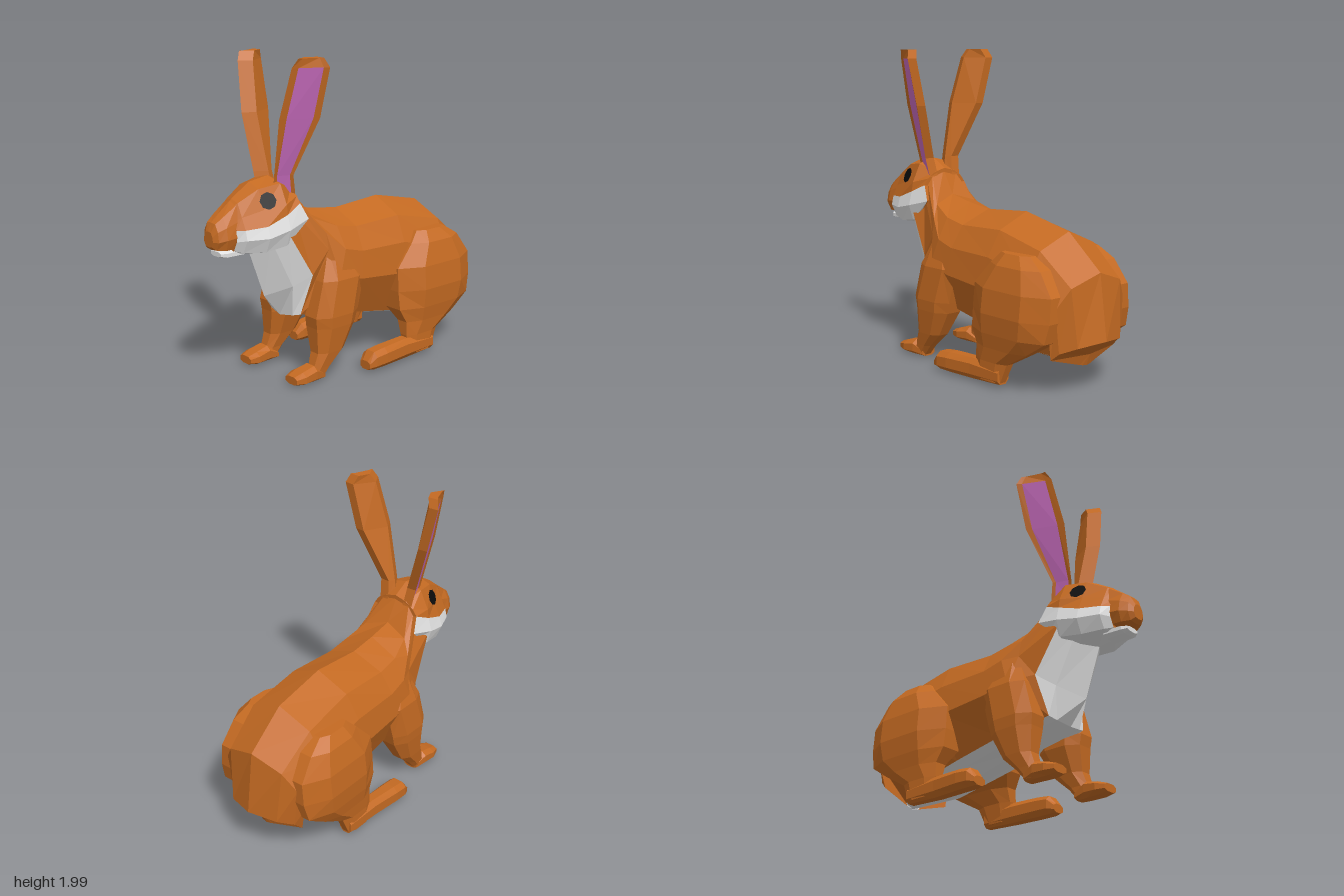
import * as THREE from 'three';

const mat = (name, color) => {
  const m = new THREE.MeshStandardMaterial({ color, flatShading: true });
  m.name = name;
  return m;
};

// Skin a list of equal-length rings, with faceted sides and closed ends.
// colourOf(segment, band) picks a material index; side = -1 mirrors in x.
function loft(name, rings, mats, { colourOf = () => 0, side = 1 } = {}) {
  const P = rings.map(r => r.map(p => new THREE.Vector3(p[0] * side, p[1], p[2])));
  const tris = mats.map(() => []);
  const n = P[0].length;
  for (let b = 0; b < P.length - 1; b++) {
    for (let i = 0; i < n; i++) {
      const j = (i + 1) % n;
      tris[colourOf(i, b)].push([P[b][i], P[b][j], P[b + 1][j]], [P[b][i], P[b + 1][j], P[b + 1][i]]);
    }
  }
  const close = (ring, flip) => {
    const c = ring.reduce((s, p) => s.add(p), new THREE.Vector3()).divideScalar(n);
    ring.forEach((p, i) => {
      const q = ring[(i + 1) % n];
      tris[0].push(flip ? [c, q, p] : [c, p, q]);
    });
  };
  close(P[0], true);
  close(P[P.length - 1], false);

  // Turn all faces outward using the sign of the enclosed volume
  let volume = 0;
  const t = new THREE.Vector3();
  tris.flat().forEach(([a, b, c]) => { volume += a.dot(t.crossVectors(b, c)); });
  const geo = new THREE.BufferGeometry();
  const pos = [];
  tris.forEach((list, m) => {
    geo.addGroup(pos.length / 3, list.length * 3, m);
    list.forEach(([a, b, c]) => {
      (volume > 0 ? [a, b, c] : [a, c, b]).forEach(p => pos.push(p.x, p.y, p.z));
    });
  });
  geo.setAttribute('position', new THREE.Float32BufferAttribute(pos, 3));
  geo.computeVertexNormals();
  const mesh = new THREE.Mesh(geo, mats);
  mesh.name = name;
  return mesh;
}

// Complete a half ring (top centre to bottom centre) by mirroring it
const whole = half => [...half, ...half.slice(1, -1).reverse().map(([x, y, z]) => [-x, y, z])];

// Body ring between a spine point and a belly point; bow pushes its sides back.
// The fur border lies at fraction b of the way down, bx from the middle.
function bodyRing([topY, topZ, lowY, lowZ, width, b, bx, bow]) {
  const half = [[0, 0], [0.67 * width, 0.13 * b], [0.93 * width, 0.35 * b], [width, 0.62 * b],
    [bx, b], [0.65 * bx, (1 + b) / 2], [0, 1]];
  return whole(half.map(([x, t]) => [
    x, THREE.MathUtils.lerp(topY, lowY, t),
    THREE.MathUtils.lerp(topZ, lowZ, t) - bow * Math.sin(Math.PI * t),
  ]));
}

// Upright head ring at z from its top, its bottom and the side points between
const headRing = ([z, top, low, ...sides]) =>
  whole([[0, top, z], ...sides.map(([x, y, dz = 0]) => [x, y, z + dz]), [0, low, z]]);

// Ear ring: front rim, two pink edges, back rim, two inner corners
function earRing([y, fx, fz, bx, bz]) {
  const pinkEdge = t => [fx + (bx - fx) * t - 0.008, y, fz + (bz - fz) * t];
  return [[fx, y, fz], pinkEdge(0.2), pinkEdge(0.86), [bx, y, bz], [bx - 0.065, y, bz - 0.005], [fx - 0.045, y, fz - 0.08]];
}

// Eight-sided rings, level (across y) or upright (across z)
const OCT = [[0.5, 1], [1, 0.5], [1, -0.5], [0.5, -1], [-0.5, -1], [-1, -0.5], [-1, 0.5], [-0.5, 1]];
const oct = (a0, a1, b0, b1) => OCT.map(([u, v]) =>
  [(a0 + a1) / 2 + u * (a1 - a0) / 2, (b0 + b1) / 2 + v * (b1 - b0) / 2]);
const level = ([y, x0, x1, z0, z1]) => oct(x0, x1, z0, z1).map(([x, z]) => [x, y, z]);
const upright = ([z, x0, x1, y0, y1]) => oct(x0, x1, y0, y1).map(([x, y]) => [x, y, z]);

export function createModel() {
  const fur = mat('orangeFur', 0xc46a22);
  const white = mat('whiteFur', 0xe2e2e2);
  const pink = mat('pinkInnerEar', 0xc86cbe);
  const black = mat('blackEye', 0x0c0c0c);
  const model = new THREE.Group();
  model.name = 'rabbit';

  // Body from neck to rump, white along chest and belly
  const body = [
    [1.2, 0.46, 0.85, 0.72, 0.15, 0.7, 0.19, 0.1],
    [1.045, 0.37, 0.52, 0.6, 0.24, 0.73, 0.22, 0.19],
    [1.01, 0.2, 0.375, 0.48, 0.3, 0.95, 0.16, 0.13],
    [0.985, 0.02, 0.32, 0.1, 0.31, 0.95, 0.2, 0],
    [1.01, -0.33, 0.24, -0.25, 0.32, 0.94, 0.2, 0],
    [0.93, -0.69, 0.17, -0.6, 0.34, 0.94, 0.19, 0],
    [0.72, -0.945, 0.15, -0.84, 0.31, 0.96, 0.06, -0.05],
    [0.32, -1, 0.148, -0.845, 0.27, 0.95, 0.05, -0.1],
  ].map(bodyRing);
  const underside = from => i => (Math.min(i, 11 - i) >= from ? 1 : 0);
  model.add(loft('body', body, [fur, white], { colourOf: underside(4) }));

  // Head with white cheeks and jaw
  const head = [
    [0.45, 1.21, 0.9, [0.08, 1.19], [0.14, 1.15], [0.17, 1.11], [0.19, 1.01, -0.05], [0.17, 0.94, 0.03]],
    [0.56, 1.27, 0.81, [0.12, 1.24], [0.18, 1.12], [0.19, 1.06], [0.215, 0.97], [0.18, 0.87]],
    [0.7, 1.25, 0.82, [0.09, 1.22], [0.135, 1.1], [0.18, 1.01], [0.2, 0.94], [0.16, 0.85]],
    [0.83, 1.17, 0.83, [0.06, 1.15], [0.1, 1.07], [0.135, 1], [0.15, 0.94], [0.11, 0.86]],
    [0.87, 1.13, 0.85, [0.04, 1.12], [0.07, 1.05], [0.1, 1], [0.1, 0.93], [0.07, 0.87]],
  ].map(headRing);
  model.add(loft('head', head, [fur, white], { colourOf: underside(3) }));

  // Muzzle and chin
  const muzzle = [
    [0.84, 1.16, 0.88, [0.06, 1.14], [0.09, 1.05], [0.105, 0.96], [0.08, 0.89]],
    [0.93, 1.09, 0.88, [0.05, 1.08], [0.085, 1.02], [0.1, 0.95], [0.08, 0.885]],
    [0.978, 1.05, 0.885, [0.04, 1.045], [0.065, 1], [0.075, 0.94], [0.05, 0.89]],
    [1, 1, 0.905, [0.025, 0.995], [0.04, 0.97], [0.045, 0.94], [0.03, 0.91]],
  ].map(headRing);
  model.add(loft('muzzle', muzzle, [fur]));
  const chin = [[0.8, -0.08, 0.08, 0.83, 0.88], [0.92, -0.07, 0.07, 0.83, 0.875], [0.95, -0.05, 0.05, 0.84, 0.87]].map(upright);
  model.add(loft('chin', chin, [white]));

  // Ears, rooted in the head and leaning outward
  const ear = [
    [1.16, 0.075, 0.58, 0.125, 0.45],
    [1.28, 0.1, 0.59, 0.14, 0.475],
    [1.63, 0.18, 0.61, 0.28, 0.385],
    [1.93, 0.255, 0.575, 0.358, 0.375],
    [1.985, 0.28, 0.545, 0.335, 0.4],
  ].map(earRing);

  // Legs
  const haunch = [
    [0.81, 0.2, 0.32, -0.66, -0.42], [0.74, 0.15, 0.37, -0.77, -0.35], [0.6, 0.08, 0.41, -0.87, -0.22],
    [0.45, 0.08, 0.425, -0.87, -0.215], [0.33, 0.16, 0.415, -0.84, -0.22], [0.24, 0.24, 0.4, -0.7, -0.27],
    [0.15, 0.28, 0.39, -0.54, -0.27], [0.03, 0.3, 0.39, -0.49, -0.29],
  ].map(level);
  const hindFoot = [
    [-0.49, 0.3, 0.39, 0.02, 0.12], [-0.25, 0.29, 0.4, 0.01, 0.14], [-0.05, 0.29, 0.42, 0.01, 0.135],
    [0.04, 0.29, 0.42, 0.01, 0.125], [0.085, 0.31, 0.4, 0.015, 0.07],
  ].map(upright);
  const foreleg = [
    [0.8, 0.15, 0.25, 0.16, 0.28], [0.62, 0.15, 0.315, 0.02, 0.36], [0.4, 0.12, 0.33, 0.08, 0.42],
    [0.33, 0.12, 0.325, 0.1, 0.41], [0.17, 0.165, 0.305, 0.19, 0.4], [0.08, 0.185, 0.29, 0.29, 0.43],
    [0.01, 0.19, 0.28, 0.35, 0.45],
  ].map(level);
  const frontPaw = [
    [0.35, 0.18, 0.28, 0, 0.05], [0.43, 0.165, 0.3, 0, 0.1], [0.52, 0.155, 0.305, 0, 0.08], [0.58, 0.175, 0.285, 0.01, 0.06],
  ].map(upright);

  for (const side of [1, -1]) {
    const label = side > 0 ? 'left' : 'right';
    model.add(
      loft(label + 'Ear', ear, [fur, pink], { side, colourOf: (i, b) => (i === 1 && b < 3 ? 1 : 0) }),
      loft(label + 'Haunch', haunch, [fur], { side }),
      loft(label + 'HindFoot', hindFoot, [fur], { side }),
      loft(label + 'Foreleg', foreleg, [fur], { side }),
      loft(label + 'FrontPaw', frontPaw, [fur], { side }),
    );
    // Eye disc lying against the slanted side of the head
    const eye = new THREE.Mesh(new THREE.CircleGeometry(0.053, 8), black);
    eye.name = label + 'Eye';
    eye.position.set(side * 0.139, 1.153, 0.667);
    eye.lookAt(eye.position.clone().add(new THREE.Vector3(side, 0.43, 0.3)));
    model.add(eye);
  }
  return model;
}
